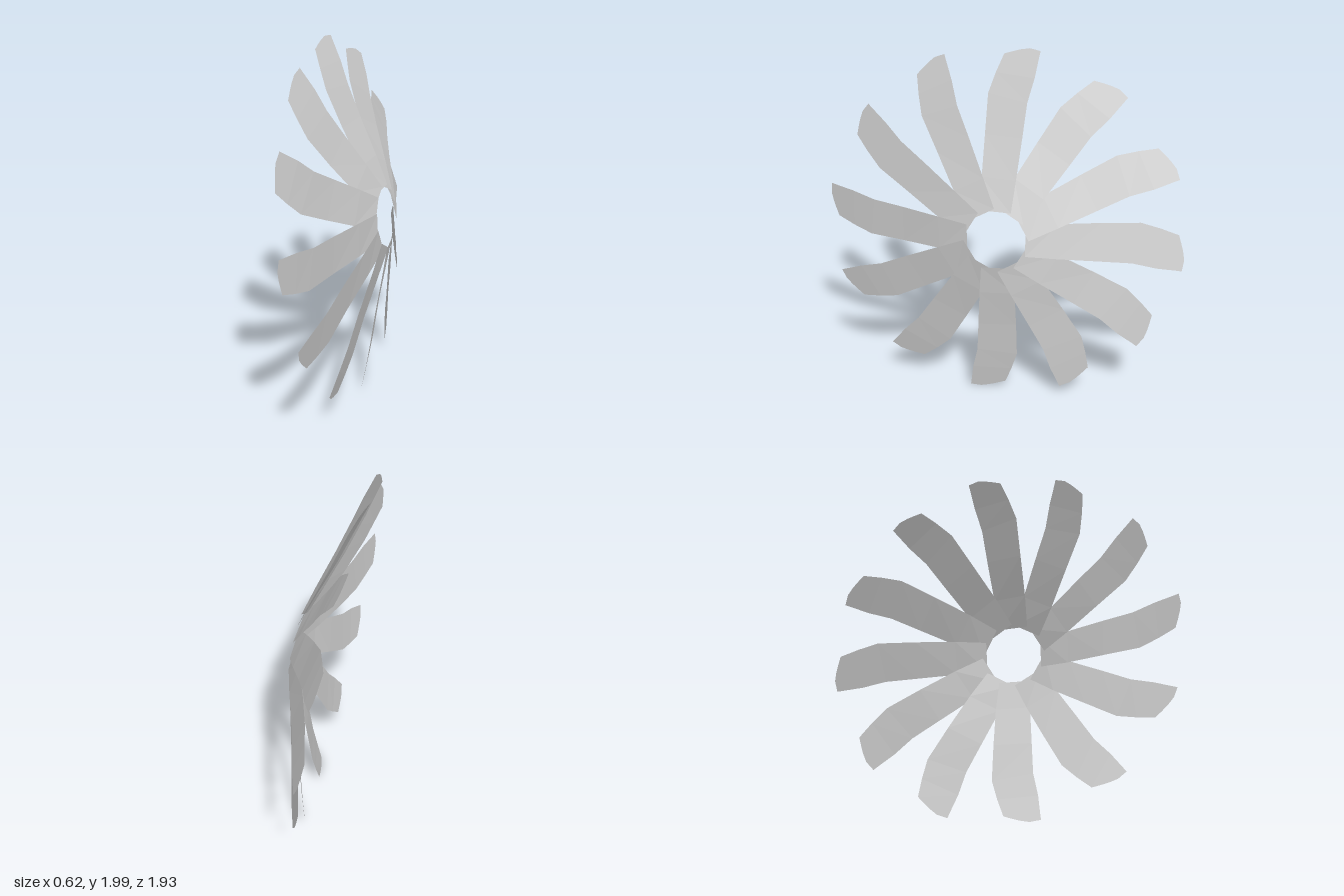
import * as THREE from 'three';

const PETALS = 12;

// Blade cross-sections, root to tip: [u, r] of trailing edge, [u, r] of leading edge
const ROWS = [
  [-0.09, 0.16, 0.078, 0.162],
  [-0.1, 0.33, 0.092, 0.33],
  [-0.102, 0.55, 0.108, 0.55],
  [-0.102, 0.76, 0.12, 0.73],
  [-0.068, 0.87, 0.15, 0.86],
  [-0.03, 0.968, 0.166, 0.975],
  [0.02, 0.985, 0.17, 0.998],
  [0.06, 0.997, 0.11, 1.007],
];

// Radius, height along the axis, blade pitch
const PROFILE = [
  [0.16, 0.243, 0.1],
  [0.33, 0.19, 0.15],
  [0.6, 0.103, 0.18],
  [0.8, 0.048, 0.18],
  [1.0, -0.02, 0.18],
];

function height(u, r) {
  let i = 0;
  while (i < PROFILE.length - 2 && r > PROFILE[i + 1][0]) i++;
  const [r0, h0, p0] = PROFILE[i], [r1, h1, p1] = PROFILE[i + 1];
  const t = (r - r0) / (r1 - r0);
  return h0 + (h1 - h0) * t + (p0 + (p1 - p0) * t) * u;
}

// One thin blade: x across, y outward, z along the axis
function bladeGeometry() {
  const pos = [], index = [];
  ROWS.forEach(([u0, r0, u1, r1], i) => {
    pos.push(u0, r0, height(u0, r0), u1, r1, height(u1, r1));
    if (i > 0) {
      const a = 2 * i - 2;
      index.push(a, a + 1, a + 2, a + 1, a + 3, a + 2);
    }
  });
  const g = new THREE.BufferGeometry();
  g.setAttribute('position', new THREE.Float32BufferAttribute(pos, 3));
  g.setIndex(index);
  g.computeVertexNormals();
  return g;
}

export function createModel() {
  const model = new THREE.Group();
  model.name = 'petalWheel';
  const material = new THREE.MeshStandardMaterial({
    color: 0xcccccc, flatShading: true, side: THREE.DoubleSide,
  });

  // Tilted wheel frame: local z is the axis, local y points up
  const wheel = new THREE.Group();
  wheel.name = 'petalRing';
  const axis = new THREE.Vector3(1, 0.15, 0.285).normalize();
  const up = new THREE.Vector3(0, 1, 0).addScaledVector(axis, -axis.y).normalize();
  const side = new THREE.Vector3().crossVectors(up, axis);
  wheel.quaternion.setFromRotationMatrix(new THREE.Matrix4().makeBasis(side, up, axis));
  wheel.position.set(0, 1, 0);
  model.add(wheel);

  // Overlapping petals around the open centre
  const geometry = bladeGeometry();
  for (let k = 0; k < PETALS; k++) {
    const petal = new THREE.Mesh(geometry, material);
    petal.name = `petal${k + 1}`;
    petal.rotation.z = -k * 2 * Math.PI / PETALS;
    wheel.add(petal);
  }
  return model;
}
